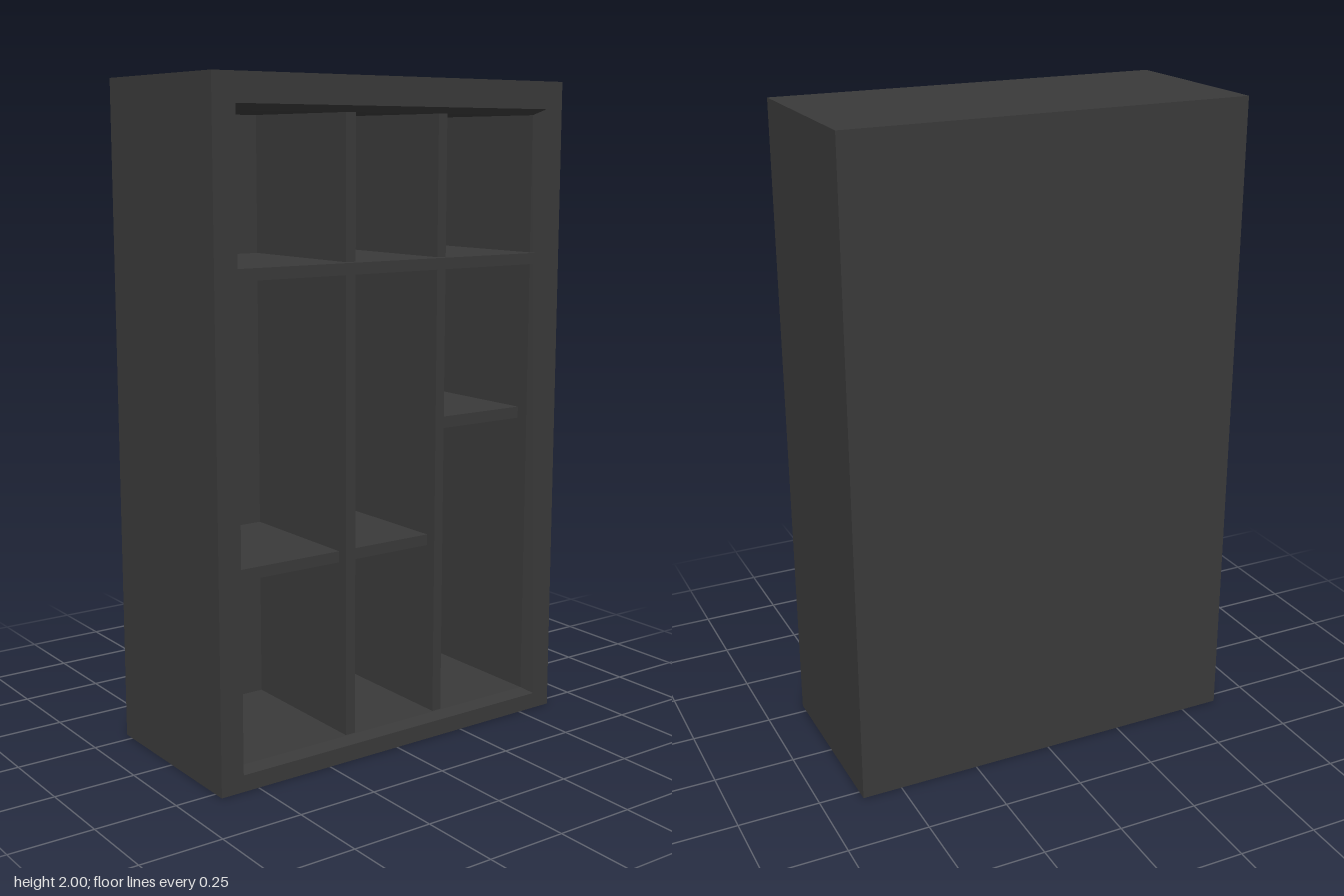
import * as THREE from 'three';

const material = new THREE.MeshStandardMaterial({ color: 0x3a3a3a });

// Corners of a rectangle facing +z, counter-clockwise
const rect = (x0, x1, y0, y1, z) => [[x0, y0, z], [x1, y0, z], [x1, y1, z], [x0, y1, z]];

// Skin joining successive rectangles, with flat faces
function loft(loops) {
  const pos = [];
  for (let i = 0; i < loops.length - 1; i++) {
    for (let k = 0; k < 4; k++) {
      const n = (k + 1) % 4;
      const [a, b, c, d] = [loops[i][k], loops[i][n], loops[i + 1][n], loops[i + 1][k]];
      pos.push(...a, ...b, ...c, ...a, ...c, ...d);
    }
  }
  const g = new THREE.BufferGeometry();
  g.setAttribute('position', new THREE.Float32BufferAttribute(pos, 3));
  g.computeVertexNormals();
  return g;
}

export function createModel() {
  const group = new THREE.Group();
  group.name = 'bookcase';

  const add = (name, geometry) => {
    const mesh = new THREE.Mesh(geometry, material);
    mesh.name = name;
    group.add(mesh);
  };

  const W = 0.623, D = 0.285;
  const inner = { x0: -0.54, x1: 0.545, y0: 0.06, y1: 1.9, back: -0.235 };

  // Carcass: closed back, outer walls, front frame, bevelled lip, hollow inside
  add('carcass', loft([
    rect(0, 0, 1, 1, -D),
    rect(-W, W, 0, 2, -D),
    rect(-W, W, 0, 2, D),
    rect(-0.55, 0.56, 0.05, 1.917, D),
    rect(inner.x0, inner.x1, inner.y0, inner.y1, 0.24),
    rect(inner.x0, inner.x1, inner.y0, inner.y1, inner.back),
    rect(0, 0, 1, 1, inner.back),
  ]));

  // Boards run from the inner back to their own front edge
  const board = (name, x0, x1, y0, y1, front) => {
    const g = new THREE.BoxGeometry(x1 - x0, y1 - y0, front - inner.back);
    g.translate((x0 + x1) / 2, (y0 + y1) / 2, (front + inner.back) / 2);
    add(name, g);
  };

  // Upright dividers, split by the top shelf
  const dividers = [['left', 0.178, 0.21], ['right', -0.157, -0.123]];
  for (const [side, x0, x1] of dividers) {
    board(`${side}LowerDivider`, x0, x1, inner.y0, 1.447, 0.235);
    board(`${side}UpperDivider`, x0, x1, 1.481, inner.y1, 0.235);
  }

  // Shelves
  board('topShelf', inner.x0, inner.x1, 1.447, 1.481, 0.265);
  board('rightShelf', inner.x0, -0.157, 0.59, 0.624, 0.2);
  board('middleShelf', -0.123, 0.178, 0.59, 0.624, 0.2);
  board('leftShelf', 0.21, inner.x1, 0.952, 0.988, 0.2);

  return group;
}
